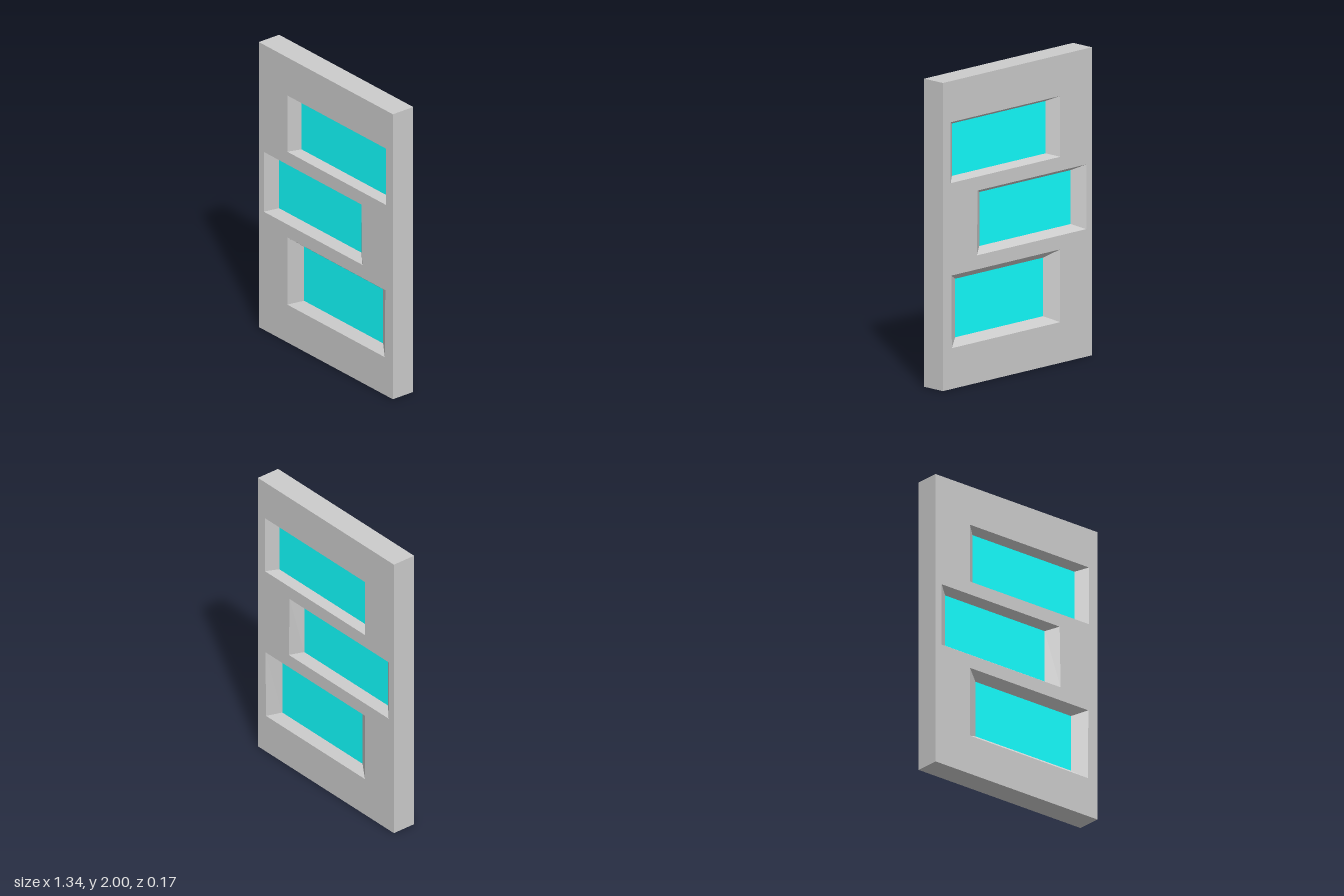
import * as THREE from 'three';
import { mergeGeometries } from 'three/addons/utils/BufferGeometryUtils.js';

const HALF = 0.083;  // half thickness of the slab
const PANE = 0.024;  // half thickness of the panes

// Corners run bottom left, bottom right, top right, top left
const rect = (x0, x1, y0, y1) => [[x0, y0], [x1, y0], [x1, y1], [x0, y1]];
const slab = rect(-0.67, 0.67, 0, 2);
const windows = [
  { name: 'topPane', outer: rect(-0.385, 0.6, 1.338, 1.733), inner: [-0.315, 0.53, 1.363, 1.703] },
  { name: 'middlePane', outer: [[-0.62, 0.828], [0.365, 0.828], [0.357, 1.248], [-0.62, 1.248]], inner: [-0.54, 0.283, 0.865, 1.215] },
  { name: 'bottomPane', outer: [[-0.385, 0.265], [0.59, 0.265], [0.595, 0.737], [-0.385, 0.737]], inner: [-0.29, 0.5, 0.31, 0.69] },
];

// Flat quads joining ring a at depth za to ring b at depth zb
function strip(a, za, b, zb) {
  const pos = [];
  a.forEach((p, i) => {
    const j = (i + 1) % a.length;
    const A = [...p, za], B = [...a[j], za], C = [...b[j], zb], D = [...b[i], zb];
    pos.push(...A, ...B, ...C, ...A, ...C, ...D);
  });
  const g = new THREE.BufferGeometry();
  g.setAttribute('position', new THREE.Float32BufferAttribute(pos, 3));
  g.computeVertexNormals();
  return g;
}

// Broad face with window openings; side is 1 for front, -1 for back
function face(side) {
  const pts = (ring) => ring.map(([x, y]) => new THREE.Vector2(x * side, y));
  const shape = new THREE.Shape(pts(slab));
  windows.forEach((w) => shape.holes.push(new THREE.Path(pts(w.outer))));
  const g = new THREE.ShapeGeometry(shape).toNonIndexed();
  g.deleteAttribute('uv');
  g.translate(0, 0, HALF);
  if (side < 0) g.rotateY(Math.PI);
  return g;
}

export function createModel() {
  const group = new THREE.Group();
  const grey = new THREE.MeshStandardMaterial({ color: 0xcccccc, flatShading: true });
  const cyan = new THREE.MeshStandardMaterial({ color: 0x12ffff });

  // Door slab: two faces, outer edges and sloped reveals on both sides
  const parts = [face(1), face(-1), strip(slab, -HALF, slab, HALF)];
  for (const w of windows) {
    const inner = rect(...w.inner);
    parts.push(strip(w.outer, HALF, inner, PANE), strip(inner, -PANE, w.outer, -HALF));
  }
  const door = new THREE.Mesh(mergeGeometries(parts), grey);
  door.name = 'doorSlab';
  group.add(door);

  // Glass panes
  for (const { name, inner: [x0, x1, y0, y1] } of windows) {
    const pane = new THREE.Mesh(new THREE.BoxGeometry(x1 - x0, y1 - y0, PANE * 2), cyan);
    pane.position.set((x0 + x1) / 2, (y0 + y1) / 2, 0);
    pane.name = name;
    group.add(pane);
  }
  return group;
}
